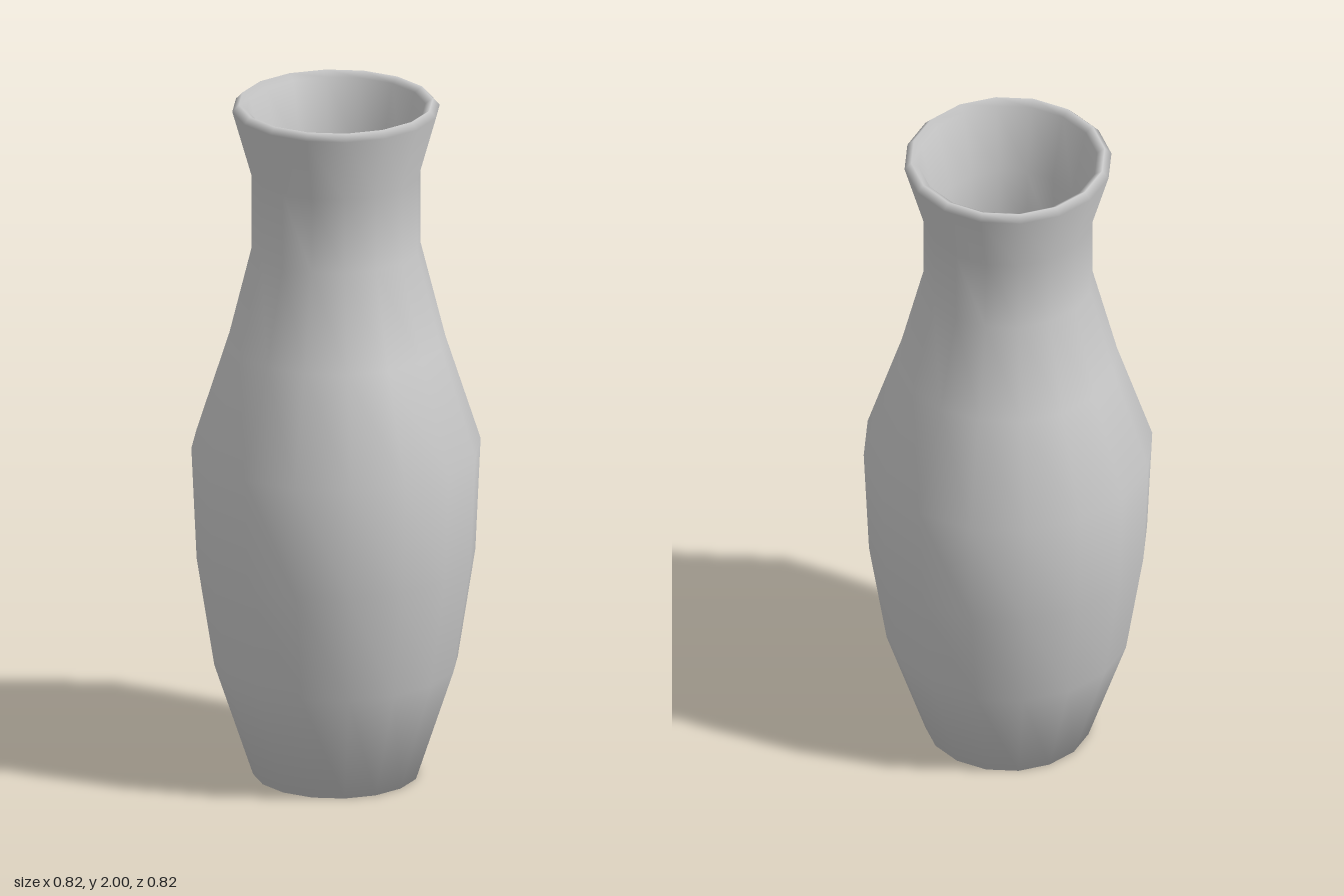
import * as THREE from 'three';

const SIDES = 16;

// Closed wall profile (radius, height): base, outside up, over the lip, inside down
const outside = [
  [0, 0], [0.235, 0], [0.345, 0.33], [0.395, 0.65], [0.41, 0.98],
  [0.31, 1.29], [0.24, 1.57], [0.24, 1.79],
];
const lip = [[0.294, 1.98], [0.275, 2.0], [0.253, 1.985]];
const inside = [
  [0.208, 1.79], [0.208, 1.56], [0.28, 1.28], [0.378, 0.97],
  [0.363, 0.65], [0.315, 0.34], [0.215, 0.035], [0, 0.035],
];

export function createModel() {
  const model = new THREE.Group();
  model.name = 'vase';

  // Hollow smooth-shaded body turned around the vertical axis
  const profile = [...outside, ...lip, ...inside].map(([r, y]) => new THREE.Vector2(r, y));
  const body = new THREE.Mesh(
    new THREE.LatheGeometry(profile, SIDES),
    new THREE.MeshStandardMaterial({ color: 0xcccccc })
  );
  body.name = 'vaseBody';
  model.add(body);

  return model;
}
